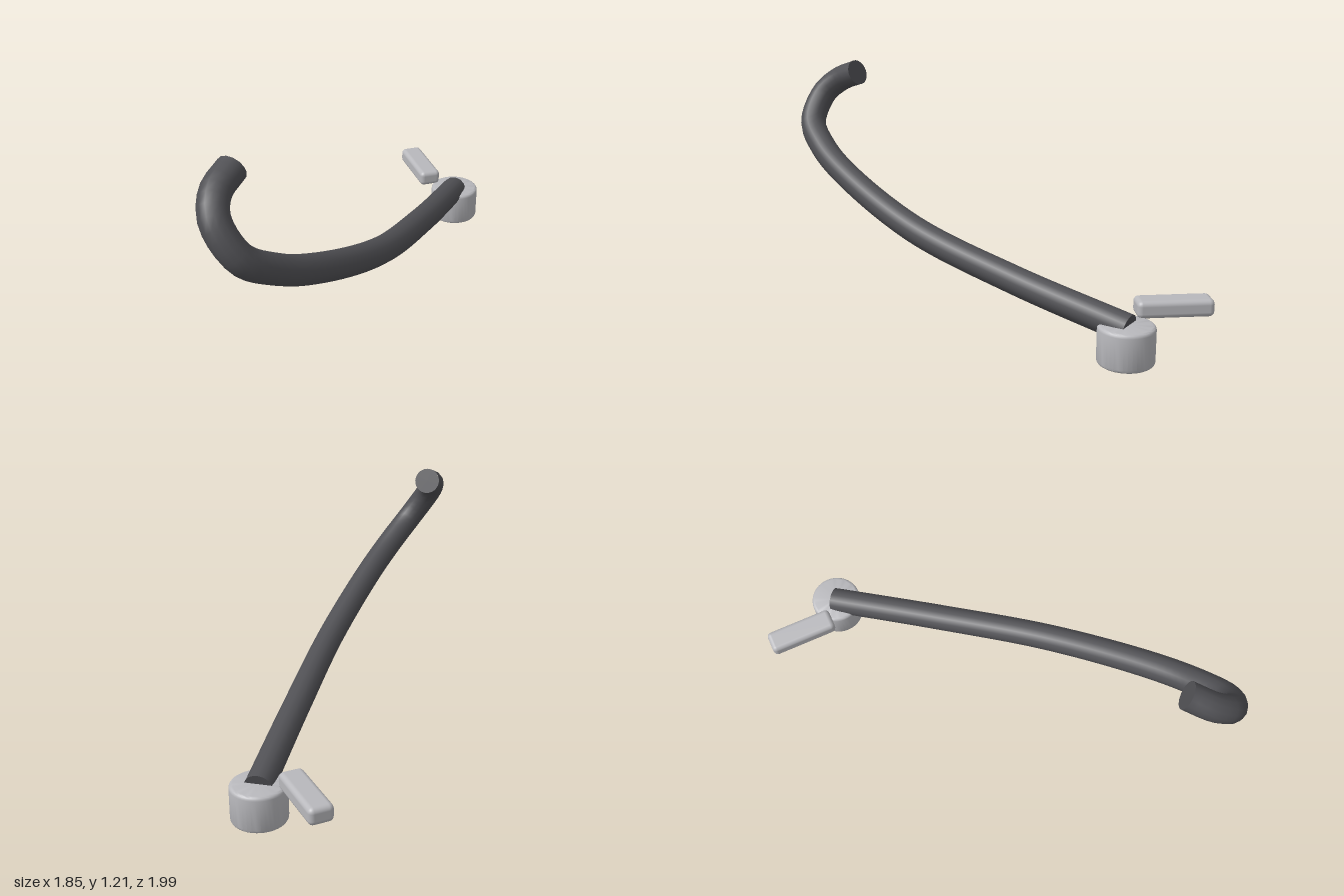
import * as THREE from 'three';
import { toCreasedNormals } from 'three/addons/utils/BufferGeometryUtils.js';
import { RoundedBoxGeometry } from 'three/addons/geometries/RoundedBoxGeometry.js';

export function createModel() {
  const model = new THREE.Group();
  const dark = new THREE.MeshStandardMaterial({ color: 0x505054 });
  dark.name = 'dark grey';
  const light = new THREE.MeshStandardMaterial({ color: 0xb8b8bc });
  light.name = 'light grey';

  function add(name, geometry, material, parent = model) {
    const mesh = new THREE.Mesh(geometry, material);
    mesh.name = name;
    parent.add(mesh);
    return mesh;
  }

  // Curved bar, sweeping up from the base to a hooked end
  const radius = 0.07, sides = 14;
  const path = new THREE.CatmullRomCurve3([
    [0.79, 0.165, -0.575],
    [0.4, 0.285, -0.09],
    [0, 0.43, 0.37],
    [-0.4, 0.625, 0.72],
    [-0.62, 0.75, 0.865],
    [-0.78, 0.87, 0.925],
    [-0.86, 1.02, 0.86],
    [-0.835, 1.1, 0.765],
    [-0.745, 1.147, 0.665],
  ].map((p) => new THREE.Vector3(...p)));
  const bar = new THREE.Group();
  bar.name = 'curvedBar';
  model.add(bar);
  add('barTube', new THREE.TubeGeometry(path, 64, radius, sides), dark, bar);

  // Flat discs closing both ends of the bar
  for (const [name, t, sign] of [['lowerEnd', 0, -1], ['upperEnd', 1, 1]]) {
    const cap = add(name, new THREE.CircleGeometry(radius, sides * 2), dark, bar);
    cap.position.copy(path.getPointAt(t));
    const outward = path.getTangentAt(t).multiplyScalar(sign);
    cap.quaternion.setFromUnitVectors(new THREE.Vector3(0, 0, 1), outward);
  }

  // Round base with softly rounded rims
  const r = 0.135, h = 0.187, bevel = 0.018;
  const profile = [new THREE.Vector2(0, 0)];
  for (const [cy, from] of [[bevel, -Math.PI / 2], [h - bevel, 0]]) {
    for (let i = 0; i <= 4; i++) {
      const a = from + (i / 4) * Math.PI / 2;
      profile.push(new THREE.Vector2(r - bevel + Math.cos(a) * bevel, cy + Math.sin(a) * bevel));
    }
  }
  profile.push(new THREE.Vector2(0, h));
  const base = add('roundBase', toCreasedNormals(new THREE.LatheGeometry(profile, 40), 0.6), light);
  base.position.set(0.787, 0, -0.567);

  // Small rounded lever behind the base
  const lever = add('lever', new RoundedBoxGeometry(0.12, 0.085, 0.366, 3, 0.025), light);
  lever.position.set(0.66, 0.221, -0.817);

  return model;
}
